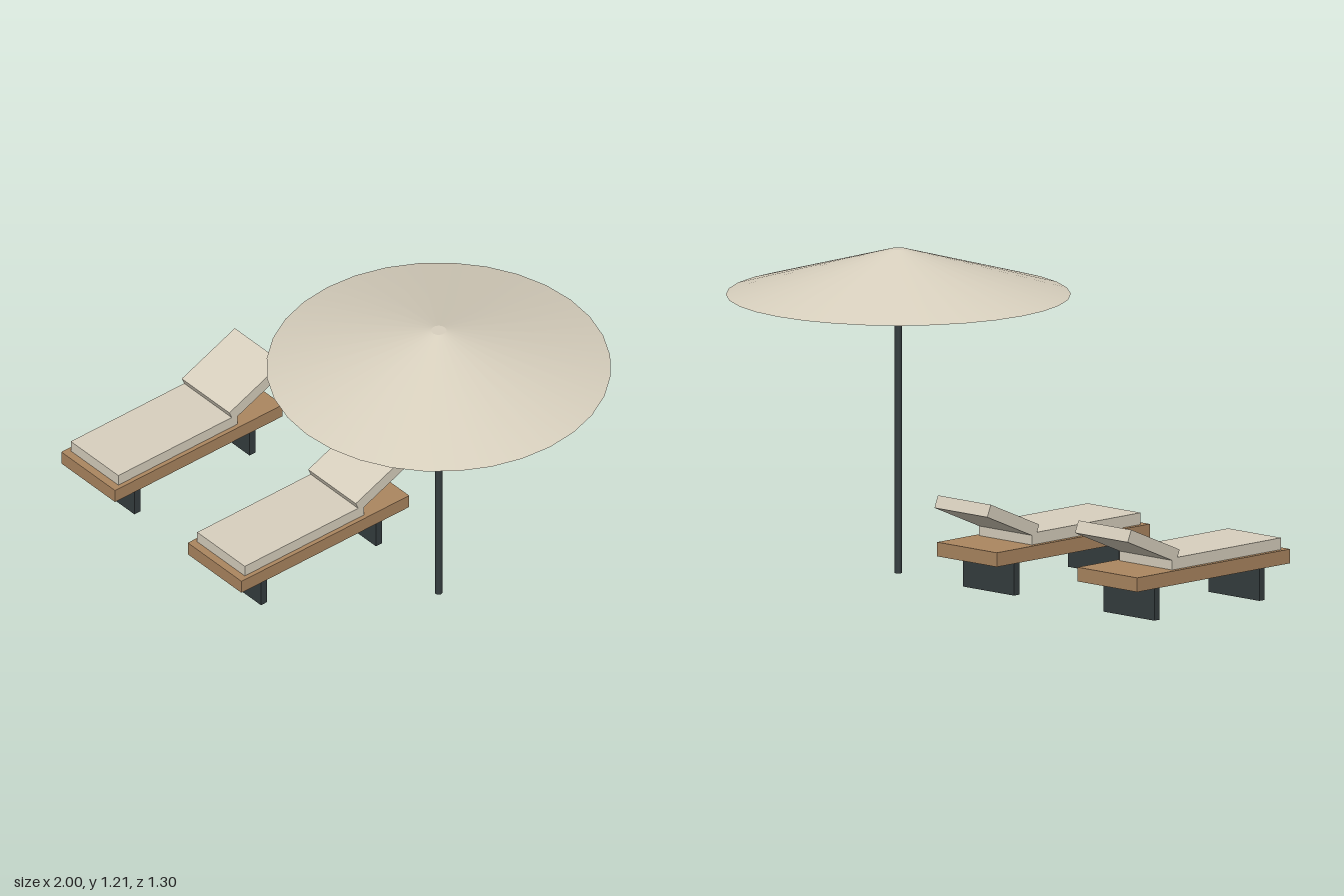
import * as THREE from 'three';

const material = (name, color) => {
  const m = new THREE.MeshStandardMaterial({ color });
  m.name = name;
  return m;
};

export function createModel() {
  const fabric = material('cream fabric', 0xd8d0be);
  const wood = material('warm wood', 0xab8660);
  const metal = material('dark metal', 0x353d3f);

  const add = (parent, name, geometry, mat, x, y, z) => {
    const mesh = new THREE.Mesh(geometry, mat);
    mesh.name = name;
    mesh.position.set(x, y, z);
    parent.add(mesh);
    return mesh;
  };
  const box = (w, h, d) => new THREE.BoxGeometry(w, h, d);

  // One lounger: plank frame, two slab legs, seat pad and tilted backrest
  const makeLounger = (name, x) => {
    const lounger = new THREE.Group();
    lounger.name = name;
    lounger.position.x = x;
    add(lounger, 'frame', box(0.306, 0.053, 0.806), wood, 0, 0.1515, 0.245);
    add(lounger, 'frontLeg', box(0.262, 0.125, 0.028), metal, 0, 0.0625, 0.522);
    add(lounger, 'backLeg', box(0.262, 0.125, 0.028), metal, 0, 0.0625, -0.031);
    add(lounger, 'seatCushion', box(0.271, 0.044, 0.573), fabric, 0, 0.2, 0.331);
    const back = add(lounger, 'backrest', box(0.271, 0.048, 0.277), fabric, 0, 0.281, -0.053);
    back.rotation.x = 0.4;
    return lounger;
  };

  // Parasol: thin pole under a shallow, closed cone
  const parasol = new THREE.Group();
  parasol.name = 'parasol';
  parasol.position.set(0.366, 0, -0.013);
  add(parasol, 'pole', new THREE.CylinderGeometry(0.014, 0.014, 1.1, 16), metal, 0, 0.55, 0);
  add(parasol, 'canopy', new THREE.CylinderGeometry(0.028, 0.634, 0.17, 32), fabric, 0, 1.126, 0);

  const model = new THREE.Group();
  model.name = 'poolsideSet';
  model.add(makeLounger('rightLounger', -0.847), makeLounger('middleLounger', -0.127), parasol);
  return model;
}
